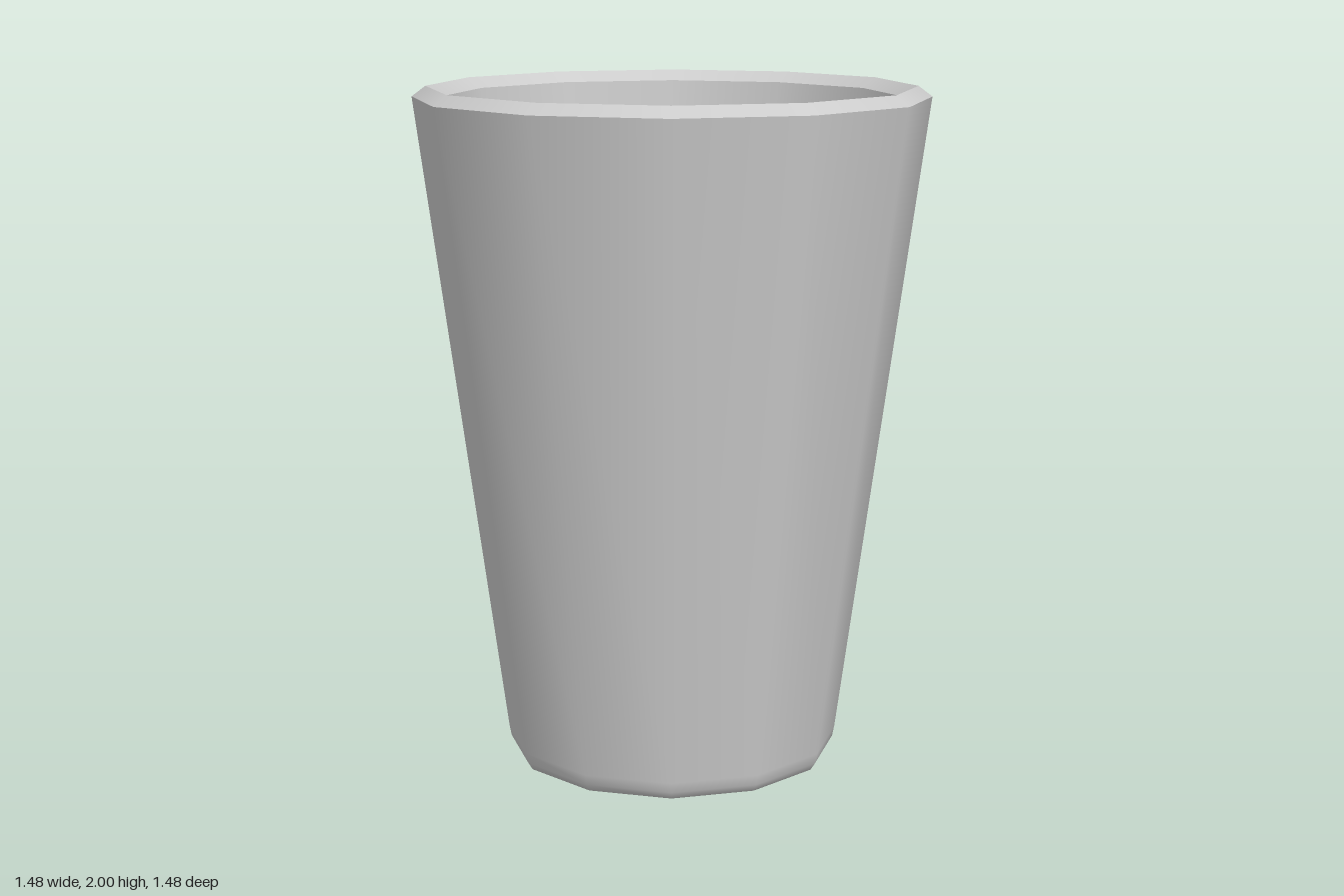
import * as THREE from 'three';

const SIDES = 12;

// Each section is its own lathe, so edges between sections stay sharp
// while the faces around the cup shade smoothly.
const sections = {
  underside: [[0, 0], [0.44, 0.03]],
  outerWall: [[0.44, 0.03], [0.468, 0.038], [0.482, 0.06], [0.488, 0.09], [0.74, 1.97]],
  rimOuterBevel: [[0.74, 1.97], [0.7, 2]],
  rimInnerBevel: [[0.7, 2], [0.655, 1.97]],
  innerWall: [[0.655, 1.97], [0.415, 0.17]],
  innerFloor: [[0.415, 0.17], [0, 0.17]],
};

export function createModel() {
  const cup = new THREE.Group();
  cup.name = 'cup';
  const material = new THREE.MeshStandardMaterial({ color: 0xcccccc });

  for (const [name, profile] of Object.entries(sections)) {
    const points = profile.map(([r, y]) => new THREE.Vector2(r, y));
    const mesh = new THREE.Mesh(new THREE.LatheGeometry(points, SIDES), material);
    mesh.name = name;
    cup.add(mesh);
  }
  return cup;
}
